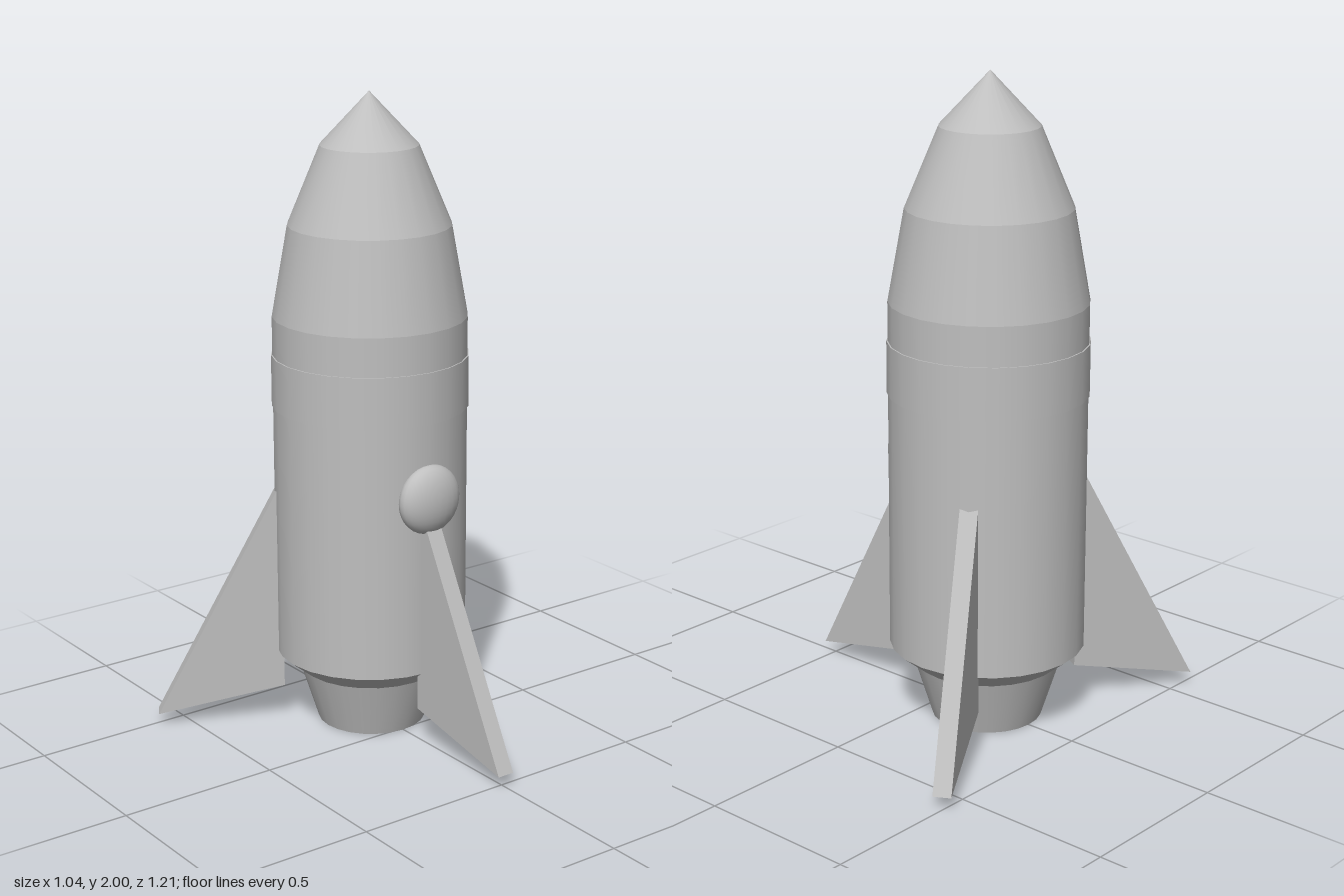
import * as THREE from 'three';

export function createModel() {
  const model = new THREE.Group();
  model.name = 'rocket';
  const grey = new THREE.MeshStandardMaterial({ color: 0xbfbfbf });
  grey.name = 'grey';

  // Everything is arranged around the rocket's own axis
  const rocket = new THREE.Group();
  rocket.name = 'rocketBody';
  rocket.position.x = -0.16;
  model.add(rocket);

  const add = (name, geometry) => {
    const mesh = new THREE.Mesh(geometry, grey);
    mesh.name = name;
    rocket.add(mesh);
    return mesh;
  };

  // Stacked round sections: name, bottom y, bottom radius, top y, top radius, open ends
  const sections = [
    ['nozzle', 0, 0.17, 0.185, 0.228, false],
    ['tailTaper', 0.18, 0.226, 0.24, 0.3, false],
    ['hull', 0.24, 0.3, 1.32, 0.3, true],
    ['hullBand', 1.04, 0.304, 1.2, 0.304, false],
    ['noseLower', 1.32, 0.3, 1.6, 0.25, true],
    ['noseMiddle', 1.6, 0.25, 1.84, 0.15, true],
    ['noseTip', 1.84, 0.15, 2, 0, true],
  ];
  for (const [name, y0, r0, y1, r1, open] of sections) {
    const section = new THREE.CylinderGeometry(r1, r0, y1 - y0, 24, 1, open);
    add(name, section).position.y = (y0 + y1) / 2;
  }

  // Three swept fins, 120 degrees apart
  const thickness = 0.055;
  const outline = new THREE.Shape([
    new THREE.Vector2(0.28, 0.12),
    new THREE.Vector2(0.68, 0.04),
    new THREE.Vector2(0.28, 0.8),
  ]);
  const finGeometry = new THREE.ExtrudeGeometry(outline, { depth: thickness, bevelEnabled: false });
  finGeometry.translate(0, 0, -thickness / 2);
  for (let i = 0; i < 3; i++) {
    add('fin' + (i + 1), finGeometry).rotation.y = (i * Math.PI * 2) / 3;
  }

  // Flattened dome window above the side fin
  const porthole = add('porthole', new THREE.SphereGeometry(0.108, 24, 16));
  porthole.scale.x = 0.5;
  porthole.position.set(0.3, 0.805, 0);

  return model;
}
